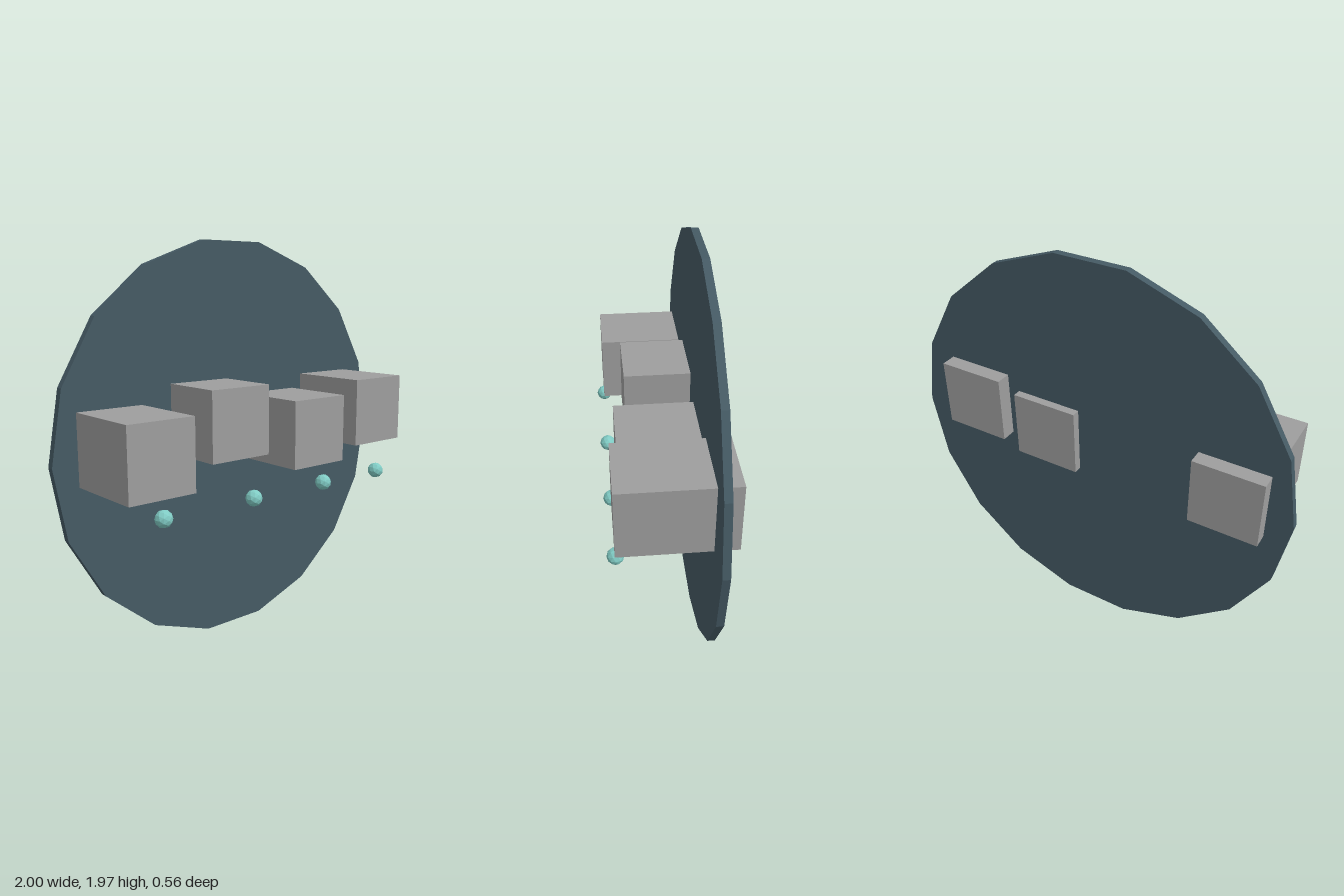
import * as THREE from 'three';

export function createModel() {
  const model = new THREE.Group();
  const material = (color) => new THREE.MeshStandardMaterial({ color, flatShading: true });
  const discMat = material(0x455a64);
  const blockMat = material(0x9e9e9e);
  const beadMat = material(0x80cbc4);

  const add = (name, geometry, mat, x, y, z) => {
    const mesh = new THREE.Mesh(geometry, mat);
    mesh.name = name;
    mesh.position.set(x, y, z);
    model.add(mesh);
  };

  // Upright eighteen-sided disc with corners on the left and right ends
  const disc = new THREE.CylinderGeometry(1, 1, 0.035, 18, 1, false, Math.PI / 2);
  disc.rotateX(Math.PI / 2);
  add('backDisc', disc, discMat, 0, 0.985, -0.187);

  // Blocks set through the disc: [x, y, back z, front z]
  const blocks = [
    [-0.707, 1.05, -0.277, 0.24],
    [-0.21, 1.135, -0.187, 0.15],
    [0.243, 1.05, -0.245, 0.21],
    [0.638, 1.123, -0.28, 0.243],
  ];
  const size = 0.336;
  blocks.forEach(([x, y, back, front], i) => {
    const box = new THREE.BoxGeometry(size, size, front - back);
    add(`block${i + 1}`, box, blockMat, x, y, (front + back) / 2);
    // Small faceted bead floating below each block
    add(`bead${i + 1}`, new THREE.IcosahedronGeometry(0.04, 1), beadMat, x, 0.8, 0.237);
  });

  return model;
}
